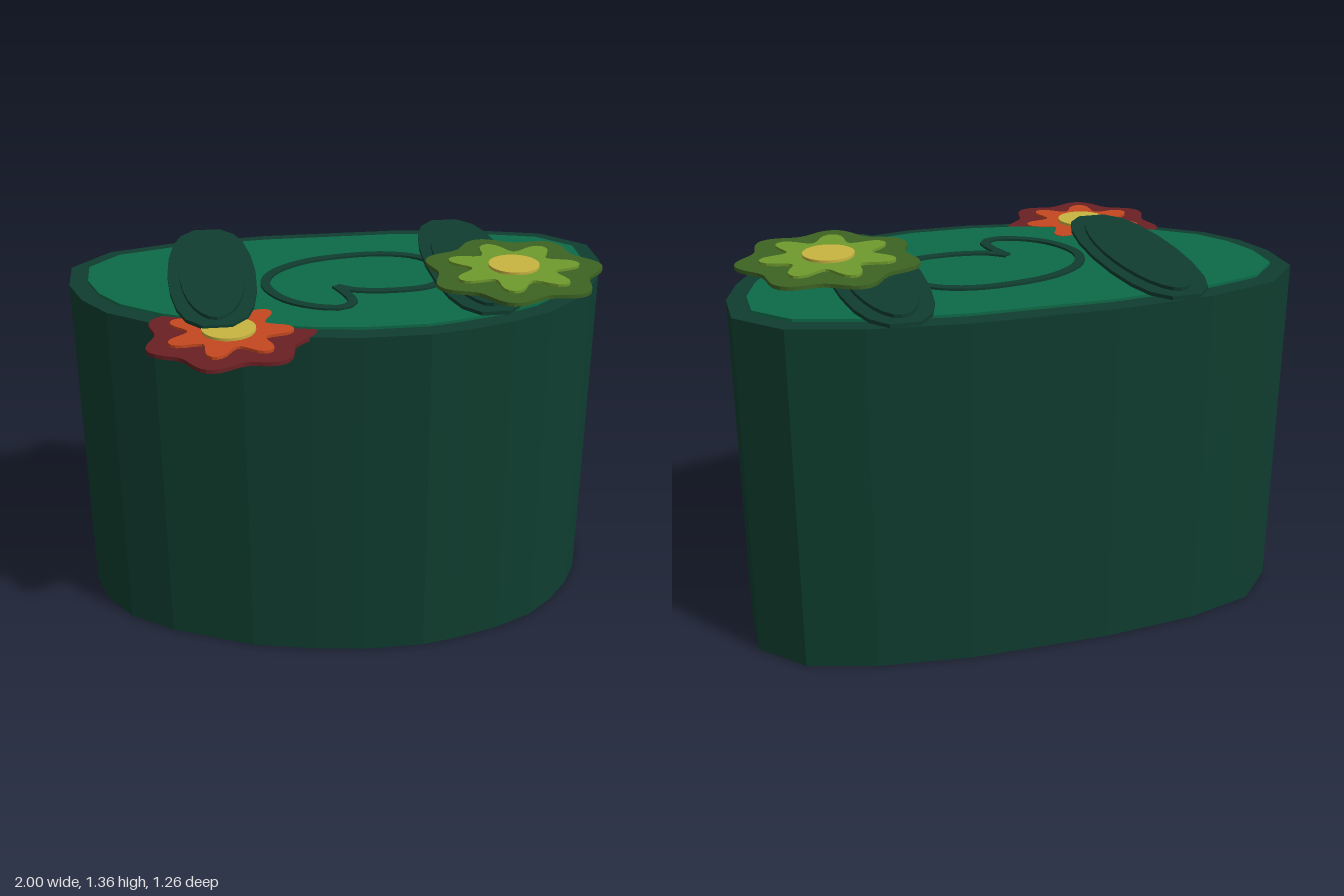
import * as THREE from 'three';

const mat = (name, color) => Object.assign(new THREE.MeshStandardMaterial({ color }), { name });

// Flat slab from an [x, z] outline, between two heights
function slab(name, outline, y0, y1, material) {
  const shape = new THREE.Shape(outline.map(([x, z]) => new THREE.Vector2(x, -z)));
  const geo = new THREE.ExtrudeGeometry(shape, { depth: y1 - y0, bevelEnabled: false });
  geo.rotateX(-Math.PI / 2).translate(0, y0, 0);
  const mesh = new THREE.Mesh(geo, material);
  mesh.name = name;
  return mesh;
}

// Outline moved inwards by d (points run clockwise seen from above)
function inset(points, d) {
  const n = points.length;
  return points.map((p, i) => {
    const a = points[(i + n - 1) % n], b = points[(i + 1) % n];
    const n1 = new THREE.Vector2(a[1] - p[1], p[0] - a[0]).normalize();
    const n2 = new THREE.Vector2(p[1] - b[1], b[0] - p[0]).normalize();
    const m = n1.clone().add(n2).normalize();
    const k = d / m.dot(n1);
    return [p[0] + m.x * k, p[1] + m.y * k];
  });
}

// Closed wavy outline with rounded lobes
function lobes(cx, cz, radius, wave, count, phase, sharp = 1) {
  return Array.from({ length: 84 }, (_, i) => {
    const a = (i / 84) * Math.PI * 2;
    const c = Math.cos(count * (a - phase));
    const r = radius + wave * Math.sign(c) * Math.abs(c) ** sharp;
    return [cx + r * Math.cos(a), cz + r * Math.sin(a)];
  });
}

// Outline of a ribbon of constant width along a smooth path
function ribbon(points, width) {
  const curve = new THREE.CatmullRomCurve3(points.map(([x, z]) => new THREE.Vector3(x, 0, z)));
  const one = [], two = [];
  for (let i = 0; i <= 36; i++) {
    const p = curve.getPointAt(i / 36), t = curve.getTangentAt(i / 36);
    one.push([p.x - t.z * width / 2, p.z + t.x * width / 2]);
    two.unshift([p.x + t.z * width / 2, p.z - t.x * width / 2]);
  }
  return [...one, ...two];
}

// Layered flower: petals, inner star and round centre
function flower(name, cx, cz, y, size, phase, petalMat, starMat, centreMat) {
  const g = new THREE.Group();
  g.name = name;
  g.add(
    slab('petals', lobes(cx, cz, 0.305 * size, 0.027 * size, 7, phase), y, y + 0.014, petalMat),
    slab('innerStar', lobes(cx, cz, 0.2 * size, 0.046 * size, 7, phase, 0.8), y + 0.014, y + 0.024, starMat),
  );
  const disc = new THREE.Mesh(new THREE.CylinderGeometry(0.093, 0.093, 0.01, 32), centreMat);
  disc.name = 'centre';
  disc.position.set(cx, y + 0.029, cz);
  g.add(disc);
  return g;
}

export function createModel() {
  const dark = mat('dark green', 0x0f3d2f);
  const green = mat('emerald', 0x0d6b48);
  const olive = mat('olive', 0x3d6323);
  const lime = mat('leaf green', 0x6f9a2d);
  const yellow = mat('yellow', 0xc8b541);
  const red = mat('deep red', 0x6b2024);
  const orange = mat('orange', 0xc4481f);
  const model = new THREE.Group();
  model.name = 'decoratedBlock';

  // Body and raised top panel
  const outline = [
    [-0.25, -0.62], [0.26, -0.62], [0.6, -0.58], [0.85, -0.51], [1, -0.36], [1, -0.18],
    [0.95, -0.03], [0.89, 0.08], [0.8, 0.19], [0.69, 0.285], [0.54, 0.355], [0.37, 0.405],
    [0.24, 0.43], [0.01, 0.43], [-0.17, 0.405], [-0.4, 0.35], [-0.7, 0.215], [-0.86, 0.1],
    [-0.95, -0.03], [-1, -0.18], [-1, -0.36], [-0.86, -0.51], [-0.6, -0.585],
  ];
  model.add(slab('body', outline, 0, 1.285, dark));
  model.add(slab('topPanel', inset(outline, 0.068), 1.285, 1.295, green));

  // Curled line on the panel, in two pieces meeting at a cusp
  const curl = [[0.37, -0.2], [0.3, -0.28], [0.2, -0.32], [0.08, -0.325], [-0.12, -0.28], [-0.25, -0.18],
    [-0.29, -0.06], [-0.24, 0.08], [-0.15, 0.16], [-0.04, 0.19], [0.005, 0.15], [-0.005, 0.07], [-0.035, -0.01]];
  const tail = [[-0.035, -0.01], [0.03, 0.032], [0.16, 0.052], [0.3, 0.03], [0.37, -0.04], [0.39, -0.12], [0.37, -0.2]];
  model.add(slab('curl', ribbon(curl, 0.035), 1.295, 1.303, dark));
  model.add(slab('curlTail', ribbon(tail, 0.035), 1.295, 1.3025, dark));

  // Two long pads, each with a raised inner layer
  const half = [[0.05, -0.485], [0.105, -0.42], [0.135, -0.32], [0.155, -0.17], [0.162, 0],
    [0.155, 0.17], [0.135, 0.32], [0.105, 0.42], [0.05, 0.485]];
  for (const [name, x] of [['leftPad', 0.48], ['rightPad', -0.48]]) {
    const edge = [...half, ...half.map(([px, pz]) => [-px, -pz])].map(([px, pz]) => [x + px, pz - 0.152]);
    const top = Array.from({ length: 28 }, (_, i) => {
      const a = (i / 28) * Math.PI * 2;
      return [x + 0.12 * Math.cos(a), -0.152 + 0.44 * Math.sin(a)];
    });
    const pad = new THREE.Group();
    pad.name = name;
    pad.add(slab('padBase', edge, 1.303, 1.316, dark), slab('padTop', top, 1.316, 1.328, dark));
    model.add(pad);
  }

  // Flowers
  model.add(flower('leftFlower', 0.617, 0.005, 1.328, 1, 0, olive, lime, yellow));
  model.add(flower('rightFlower', -0.443, 0.335, 1.273, 0.9, 0.05, red, orange, yellow));
  return model;
}
